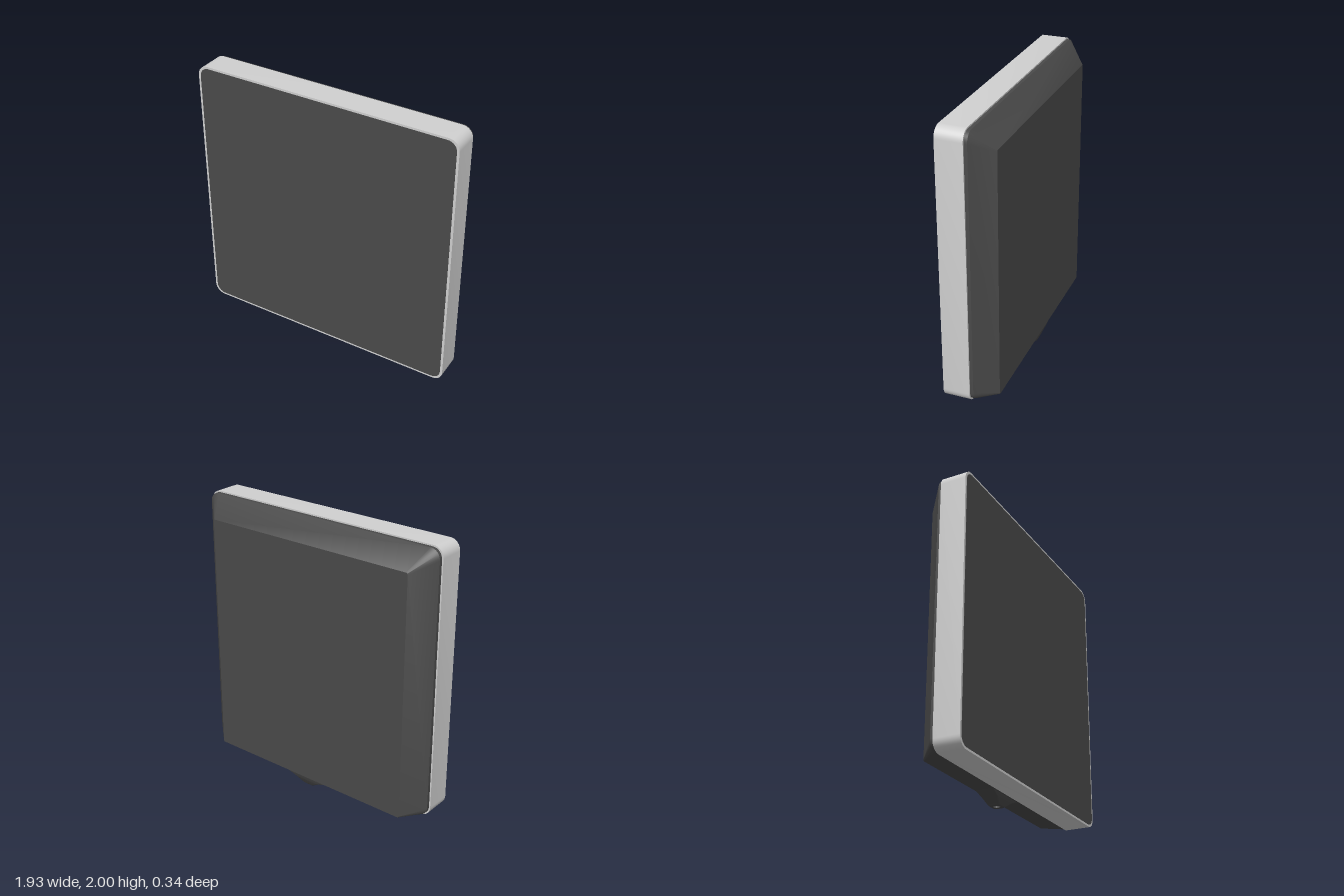
import * as THREE from 'three';
import { toCreasedNormals } from 'three/addons/utils/BufferGeometryUtils.js';

const SEG = 8; // segments per rounded corner

// Rounded rectangle loop, counter-clockwise in xy, at depth z
function ring(hx, y0, y1, r, z) {
  const pts = [];
  const corners = [[1, 1], [-1, 1], [-1, -1], [1, -1]];
  corners.forEach(([sx, sy], q) => {
    const cx = sx * (hx - r), cy = sy > 0 ? y1 - r : y0 + r;
    for (let i = 0; i <= SEG; i++) {
      const a = (q + i / SEG) * Math.PI / 2;
      pts.push([cx + r * Math.cos(a), cy + r * Math.sin(a), z]);
    }
  });
  return pts;
}

// Skin joining loops from high z to low z, with optional end caps
function loft(rings, capStart, capEnd) {
  const n = rings[0].length, pos = [], idx = [];
  rings.forEach(r => r.forEach(p => pos.push(...p)));
  for (let k = 0; k < rings.length - 1; k++) {
    for (let j = 0; j < n; j++) {
      const a = k * n + j, b = k * n + (j + 1) % n;
      idx.push(a, a + n, b, b, a + n, b + n);
    }
  }
  const last = (rings.length - 1) * n;
  for (let j = 1; j < n - 1; j++) {
    if (capStart) idx.push(0, j, j + 1);
    if (capEnd) idx.push(last, last + j + 1, last + j);
  }
  const g = new THREE.BufferGeometry();
  g.setAttribute('position', new THREE.Float32BufferAttribute(pos, 3));
  g.setIndex(idx);
  return toCreasedNormals(g, 0.45);
}

export function createModel() {
  const group = new THREE.Group();
  const lightGrey = new THREE.MeshStandardMaterial({ name: 'light grey', color: 0xd0d0d0 });
  const darkGrey = new THREE.MeshStandardMaterial({ name: 'dark grey', color: 0x4a4a4a });

  const add = (name, geometry, material) => {
    const mesh = new THREE.Mesh(geometry, material);
    mesh.name = name;
    group.add(mesh);
  };

  // Light rounded frame
  add('frame', loft([
    ring(0.967, 0.06, 2, 0.075, 0.17),
    ring(0.967, 0.06, 2, 0.075, -0.017),
  ], true, true), lightGrey);

  // Thin dark plate over the front
  add('frontPanel', loft([
    ring(0.95, 0.075, 1.985, 0.065, 0.172),
    ring(0.95, 0.075, 1.985, 0.065, 0.168),
  ], true, false), darkGrey);

  // Back shell: short lip, then a taper on the top and both sides only
  add('backShell', loft([
    ring(0.957, 0.07, 1.99, 0.07, -0.015),
    ring(0.957, 0.07, 1.99, 0.07, -0.04),
    ring(0.815, 0.07, 1.845, 0.012, -0.17),
  ], false, true), darkGrey);

  // Flared foot under the shell, with a round socket in its base
  const foot = loft([
    ring(0.2, 0.04, 0.168, 0.01, 0.075),
    ring(0.15, 0.042, 0.166, 0.01, 0.06),
    ring(0.105, 0.046, 0.162, 0.012, 0.042),
    ring(0.05, 0.062, 0.147, 0.015, 0.004),
    ring(0.044, 0.066, 0.143, 0.015, 0),
    ring(0.025, 0.08, 0.13, 0.025, 0),
    ring(0.025, 0.08, 0.13, 0.025, 0.04),
  ], false, true);
  foot.rotateX(-Math.PI / 2);
  add('foot', foot, darkGrey);

  return group;
}
